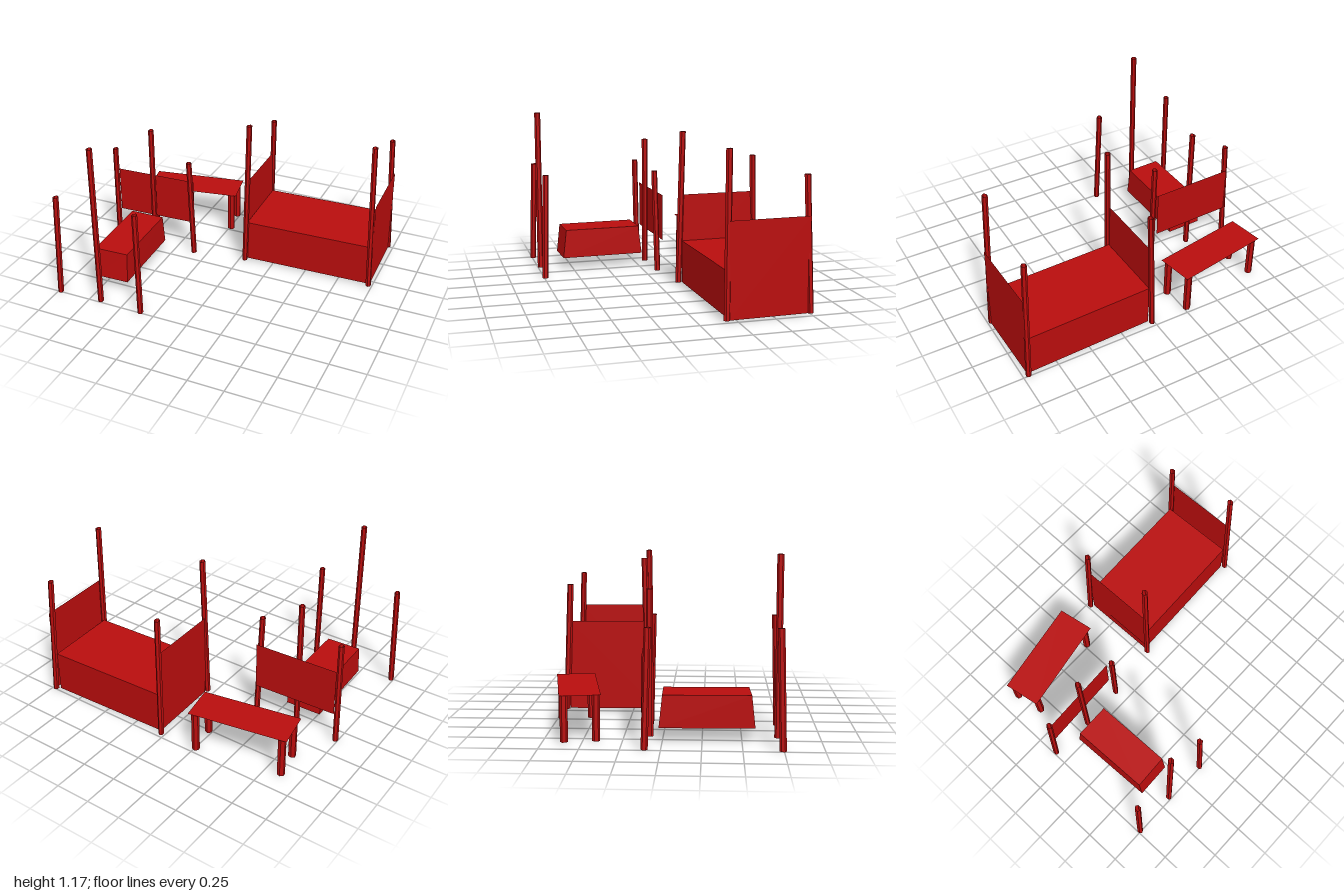
import * as THREE from 'three';

const red = new THREE.MeshStandardMaterial({ color: 0xb80d0d, side: THREE.DoubleSide, flatShading: true });

// thin surface made of four-cornered faces
function sheet(name, quads) {
  const pos = [];
  for (const [a, b, c, d] of quads) pos.push(...a, ...b, ...c, ...a, ...c, ...d);
  const geo = new THREE.BufferGeometry();
  geo.setAttribute('position', new THREE.Float32BufferAttribute(pos, 3));
  geo.computeVertexNormals();
  const mesh = new THREE.Mesh(geo, red);
  mesh.name = name;
  return mesh;
}

// upright board between two floor points [x, z]
function board(name, [x0, z0], [x1, z1], y0, y1) {
  return sheet(name, [[[x0, y0, z0], [x1, y0, z1], [x1, y1, z1], [x0, y1, z0]]]);
}

// box open underneath; corners as [x, z], running front-left, front-right, back-right, back-left as drawn
function openBox(name, top, bottom, y0, y1) {
  const t = top.map(([x, z]) => [x, y1, z]);
  const b = bottom.map(([x, z]) => [x, y0, z]);
  const sides = t.map((p, i) => [b[i], b[(i + 1) % 4], t[(i + 1) % 4], p]);
  return sheet(name, [t, ...sides]);
}

// open six-sided post sheared from a foot [x, z] to a head [x, z]
function post(name, foot, head, height, y0 = 0, rx = 0.019, rz = 0.022) {
  const geo = new THREE.CylinderGeometry(1, 1, 1, 6, 1, true);
  const p = geo.attributes.position;
  for (let i = 0; i < p.count; i++) {
    const t = p.getY(i) + 0.5;
    p.setXYZ(i,
      p.getX(i) * rx + foot[0] + (head[0] - foot[0]) * t,
      y0 + (height - y0) * t,
      p.getZ(i) * rz + foot[1] + (head[1] - foot[1]) * t);
  }
  geo.computeVertexNormals();
  const mesh = new THREE.Mesh(geo, red);
  mesh.name = name;
  return mesh;
}

export function createModel() {
  const model = new THREE.Group();

  // large bed with end boards and leaning corner posts
  const bed = new THREE.Group();
  bed.name = 'bed';
  const seat = [[0.05, -0.17], [0.955, -0.2], [0.937, -0.73], [0.04, -0.7]];
  bed.add(
    openBox('bedBase', seat, seat, 0.01, 0.31),
    board('rightEndBoard', [0.045, -0.17], [0.038, -0.7], 0.11, 0.64),
    board('leftEndBoard', [0.983, -0.19], [0.968, -0.735], 0.01, 0.64),
    post('frontRightPost', [0.045, -0.145], [0.06, -0.168], 1.085, 0.01),
    post('frontLeftPost', [0.977, -0.182], [0.945, -0.195], 1.08, 0.01),
    post('backRightPost', [0.022, -0.722], [0.042, -0.69], 0.9, 0.01),
    post('backLeftPost', [0.965, -0.747], [0.935, -0.715], 0.9, 0.01),
  );

  // low table, turned slightly
  const table = new THREE.Group();
  table.name = 'table';
  table.add(sheet('tableTop', [[
    [-0.345, 0.31, 0.13], [0.345, 0.31, 0.13], [0.345, 0.31, -0.13], [-0.345, 0.31, -0.13]]]));
  for (const x of [-0.305, 0.305]) for (const z of [-0.1, 0.1])
    table.add(post('tableLeg', [x, z], [x, z], 0.31, 0.01, 0.027, 0.025));
  table.rotation.y = 0.175;
  table.position.set(-0.547, 0, -0.563);

  // frame of two tall upright poles and four leaning corner poles
  const frame = new THREE.Group();
  frame.name = 'poleFrame';
  for (const s of [-1, 1]) {
    frame.add(post('backCornerPole', [-0.667 + s * 0.316, -0.1], [-0.667 + s * 0.298, -0.08], 0.75));
    frame.add(post('frontCornerPole', [-0.667 + s * 0.316, 0.743], [-0.667 + s * 0.298, 0.722], 0.75));
  }
  frame.add(
    post('frontTallPole', [-0.667, 0.73], [-0.667, 0.73], 1.17),
    post('backTallPole', [-0.667, -0.085], [-0.667, -0.085], 0.95),
    board('backBoard', [-0.965, -0.118], [-0.365, -0.143], 0.225, 0.565),
  );

  // raised bench inside the frame, ends sloping outward
  const bench = openBox('bench',
    [[-0.79, 0.56], [-0.545, 0.55], [-0.557, -0.005], [-0.805, 0]],
    [[-0.79, 0.583], [-0.54, 0.575], [-0.555, -0.03], [-0.81, -0.022]], 0.09, 0.3);

  model.add(bed, table, frame, bench);
  return model;
}
